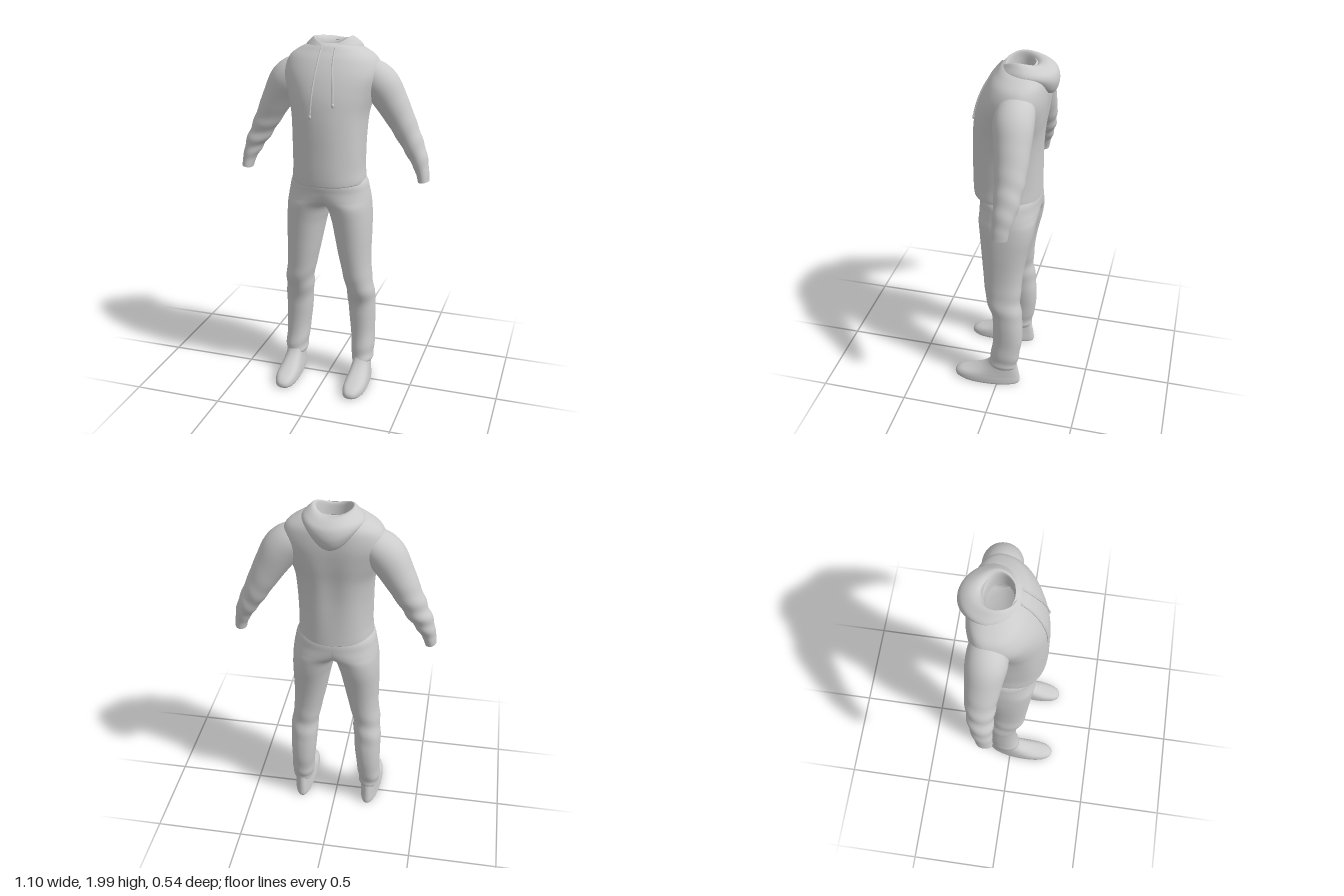
import * as THREE from 'three';

const material = new THREE.MeshStandardMaterial({ color: 0xcccccc, roughness: 0.8, side: THREE.DoubleSide });

// Smooth interpolation through a list of stations, t in 0..1
function sample(stations, t) {
  const n = stations.length - 1;
  const f = Math.min(Math.max(t, 0), 1) * n;
  const i = Math.min(Math.floor(f), n - 1);
  const k = f - i;
  const at = (q) => stations[Math.min(Math.max(q, 0), n)];
  return stations[0].map((_, c) => {
    const p0 = at(i - 1)[c], p1 = at(i)[c], p2 = at(i + 1)[c], p3 = at(i + 2)[c];
    const m1 = (p2 - p0) / 2, m2 = (p3 - p1) / 2;
    return p1 + k * (m1 + k * (3 * (p2 - p1) - 2 * m1 - m2 + k * (2 * (p1 - p2) + m1 + m2)));
  });
}

// Skin of closed rings: point(t, angle) returns [x, y, z]
function loft(name, rows, cols, point, cap = false) {
  const pos = [], index = [];
  for (let i = 0; i <= rows; i++)
    for (let j = 0; j < cols; j++) pos.push(...point(i / rows, (j / cols) * Math.PI * 2));
  for (let i = 0; i < rows; i++)
    for (let j = 0; j < cols; j++) {
      const a = i * cols + j, b = i * cols + ((j + 1) % cols);
      index.push(a, b, a + cols, b, b + cols, a + cols);
    }
  if (cap) {
    // flat end with its own vertices, so the rim stays sharp
    const ring = pos.slice(rows * cols * 3);
    const start = pos.length / 3;
    const mid = [0, 1, 2].map((c) => ring.reduce((s, v, q) => (q % 3 === c ? s + v / cols : s), 0));
    pos.push(...ring, ...mid);
    for (let j = 0; j < cols; j++) index.push(start + j, start + ((j + 1) % cols), start + cols);
  }
  const g = new THREE.BufferGeometry();
  g.setAttribute('position', new THREE.Float32BufferAttribute(pos, 3));
  g.setIndex(index);
  g.computeVertexNormals();
  const mesh = new THREE.Mesh(g, material);
  mesh.name = name;
  return mesh;
}

const power = (v, e) => Math.sign(v) * Math.abs(v) ** e;
const bump = (t, mid, width) => Math.exp(-(((t - mid) / width) ** 2));

// Torso stations: y, half width, front z, back z, z of widest point
const torso = [
  [1.962, 0.09, 0.0, -0.15, -0.07], [1.95, 0.13, 0.022, -0.19, -0.08],
  [1.925, 0.185, 0.043, -0.212, -0.095], [1.88, 0.243, 0.078, -0.226, -0.1],
  [1.8, 0.266, 0.122, -0.232, -0.095], [1.7, 0.24, 0.157, -0.224, -0.075],
  [1.6, 0.212, 0.172, -0.21, -0.045], [1.5, 0.203, 0.177, -0.202, -0.03],
  [1.4, 0.2, 0.177, -0.2, -0.02], [1.3, 0.199, 0.177, -0.2, -0.02],
  [1.235, 0.204, 0.174, -0.2, -0.02], [1.217, 0.2, 0.168, -0.199, -0.02],
  [1.222, 0.185, 0.14, -0.19, -0.02],
];

function torsoPoint(t, a) {
  const [y, w, front, back, mid] = sample(torso, t);
  const c = Math.cos(a), s = Math.sin(a);
  // shallow drape folds down the flanks and a hollow along the spine
  const fold = 1 + 0.012 * Math.sin(7 * a + 5 * t) * bump(t, 0.6, 0.25) * c * c;
  const spine = 0.012 * bump(c, 0, 0.25) * (s < 0 ? 1 : 0) * bump(t, 0.5, 0.22);
  return [w * power(c, 0.92) * fold, y, mid + (s > 0 ? front - mid : mid - back) * power(s, 0.92) * fold + spine];
}

// Front surface of the torso at a given x and height
function chestPoint(x, y) {
  let lo = 0, hi = 0.85;
  for (let i = 0; i < 30; i++) {
    const m = (lo + hi) / 2;
    if (sample(torso, m)[0] > y) lo = m; else hi = m;
  }
  const w = sample(torso, lo)[1];
  return new THREE.Vector3(x, y, torsoPoint(lo, Math.acos(power(x / w, 1 / 0.92)))[2] + 0.002);
}

// Sleeve stations: x, y, z, radius across, radius in z
const sleeve = [
  [0.14, 1.815, -0.1, 0.06, 0.07], [0.2, 1.795, -0.1, 0.088, 0.095],
  [0.265, 1.74, -0.1, 0.1, 0.104], [0.325, 1.645, -0.108, 0.088, 0.094],
  [0.38, 1.545, -0.115, 0.074, 0.083], [0.43, 1.45, -0.115, 0.063, 0.072],
  [0.477, 1.36, -0.107, 0.051, 0.061], [0.506, 1.28, -0.095, 0.037, 0.048],
  [0.517, 1.226, -0.088, 0.031, 0.044],
];

function sleevePoint(side) {
  return (t, a) => {
    const [x, y, z, r, rz] = sample(sleeve, t);
    const p = sample(sleeve, t - 0.02), q = sample(sleeve, t + 0.02);
    const dx = q[0] - p[0], dy = q[1] - p[1], len = Math.hypot(dx, dy);
    const c = Math.cos(a);
    // creases bunch up below the elbow
    const k = 1 + (side < 0 ? 0.06 : 0.035) * Math.sin(48 * t + 2 * Math.sin(a + side)) * bump(t, 0.7, 0.17);
    return [side * (x - (dy / len) * r * c * k), y + (dx / len) * r * c * k, z + rz * Math.sin(side * a) * k];
  };
}

// Trouser leg stations: y, inner x, outer x, front z, back z
// Above the crotch each leg is half of one shared hip section
const leg = [
  [1.26, -0.185, 0.185, 0.13, -0.185], [1.215, -0.213, 0.213, 0.143, -0.199],
  [1.17, -0.2, 0.224, 0.138, -0.2], [1.125, -0.115, 0.232, 0.132, -0.197],
  [1.08, -0.02, 0.237, 0.127, -0.19],
  [1.0, 0.016, 0.242, 0.117, -0.178], [0.9, 0.038, 0.243, 0.107, -0.155],
  [0.8, 0.058, 0.242, 0.098, -0.137], [0.7, 0.08, 0.245, 0.088, -0.127],
  [0.6, 0.1, 0.257, 0.075, -0.123], [0.5, 0.11, 0.265, 0.04, -0.133],
  [0.4, 0.117, 0.266, 0.032, -0.14], [0.3, 0.128, 0.265, 0.032, -0.138],
  [0.2, 0.137, 0.267, 0.045, -0.122], [0.14, 0.142, 0.265, 0.056, -0.113],
  [0.115, 0.148, 0.256, 0.05, -0.105],
];

function legPoint(side) {
  return (t, a) => {
    const [y, inner, outer, front, back] = sample(leg, t);
    // folds at the knee and stacked creases over the ankle
    const wave = Math.sin(60 * t + 1.5 * Math.sin(a + side)) * (bump(t, 0.62, 0.06) + bump(t, 0.9, 0.07));
    const k = 1 + 0.04 * wave;
    const x = (inner + outer) / 2 + ((outer - inner) / 2) * power(Math.cos(a), 0.93) * k;
    return [
      side * Math.max(x, -0.015), y,
      (front + back) / 2 + ((front - back) / 2) * power(Math.sin(side * a), 0.93) * k,
    ];
  };
}

// Shoe stations from ankle to sole: y, half width, toe z, heel z
const shoe = [
  [0.18, 0.046, 0.035, -0.095], [0.14, 0.05, 0.06, -0.108], [0.11, 0.053, 0.095, -0.115],
  [0.085, 0.057, 0.145, -0.12], [0.068, 0.061, 0.195, -0.123], [0.055, 0.064, 0.237, -0.125],
  [0.04, 0.067, 0.261, -0.127], [0.025, 0.068, 0.269, -0.129], [0.01, 0.068, 0.267, -0.129],
  [0.0, 0.064, 0.255, -0.124],
];
function shoePoint(side) {
  return (t, a) => {
    const [y, w, toe, heel] = sample(shoe, t);
    const c = Math.cos(a), s = Math.sin(side * a);
    // broad ball of the foot, slimmer heel
    const x = 0.207 + w * power(c, 0.85) * (0.92 + 0.16 * s) - 0.006 * s * s;
    return [side * x, y, (toe + heel) / 2 + ((toe - heel) / 2) * power(s, 0.9)];
  };
}

// Lowered hood, a thick roll from inside the neck over the crest to the drape at the back
// Rows: half width, front z, back z, front y, side y, back y
const hood = [
  [0.085, -0.005, -0.14, 1.89, 1.89, 1.87], [0.088, 0.0, -0.147, 1.94, 1.955, 1.935],
  [0.094, 0.006, -0.17, 1.954, 1.985, 1.965], [0.108, 0.013, -0.205, 1.957, 1.988, 1.968],
  [0.132, 0.022, -0.242, 1.95, 1.968, 1.952], [0.152, 0.031, -0.267, 1.94, 1.948, 1.925],
  [0.157, 0.034, -0.273, 1.93, 1.93, 1.875], [0.14, 0.026, -0.25, 1.925, 1.91, 1.82],
  [0.1, 0.01, -0.2, 1.925, 1.9, 1.81],
];
function hoodPoint(t, a) {
  const [w, front, back, fy, sy, by] = sample(hood, t);
  const c = Math.cos(a), s = Math.sin(a);
  const y = sy + ((s > 0 ? fy : by) - sy) * s * s + 0.005 * Math.sin(3 * a + 1) * bump(t, 0.45, 0.2);
  // the back narrows to a soft point
  const narrow = 1 - 0.14 * Math.max(0, -s) * t;
  return [w * c * narrow, y, (front + back) / 2 + ((front - back) / 2) * s];
}

// Drawstring lying on the chest, with a knotted tip
function drawstring(name, points) {
  const g = new THREE.Group();
  g.name = name;
  const path = [];
  for (let i = 0; i <= 16; i++) {
    const [x, y] = sample(points, i / 16);
    path.push(chestPoint(x, y));
  }
  const cord = new THREE.Mesh(new THREE.TubeGeometry(new THREE.CatmullRomCurve3(path), 60, 0.005, 8), material);
  cord.name = 'cord';
  const tip = new THREE.Mesh(new THREE.SphereGeometry(0.008, 12, 8), material);
  tip.name = 'cordTip';
  tip.position.copy(path[16]);
  tip.scale.y = 1.5;
  g.add(cord, tip);
  return g;
}

export function createModel() {
  const model = new THREE.Group();
  model.name = 'hoodedOutfit';
  model.add(loft('sweatshirtBody', 72, 64, torsoPoint), loft('hood', 40, 72, hoodPoint));
  for (const [side, label] of [[1, 'left'], [-1, 'right']]) {
    model.add(
      loft(label + 'Sleeve', 90, 40, sleevePoint(side), true),
      loft(label + 'TrouserLeg', 120, 64, legPoint(side), true),
      loft(label + 'Shoe', 36, 48, shoePoint(side), true),
    );
  }
  model.add(
    drawstring('rightDrawstring', [[-0.03, 1.945], [-0.034, 1.86], [-0.043, 1.74], [-0.05, 1.6]]),
    drawstring('leftDrawstring', [[0.045, 1.945], [0.05, 1.86], [0.065, 1.76], [0.072, 1.665]]),
  );
  return model;
}
